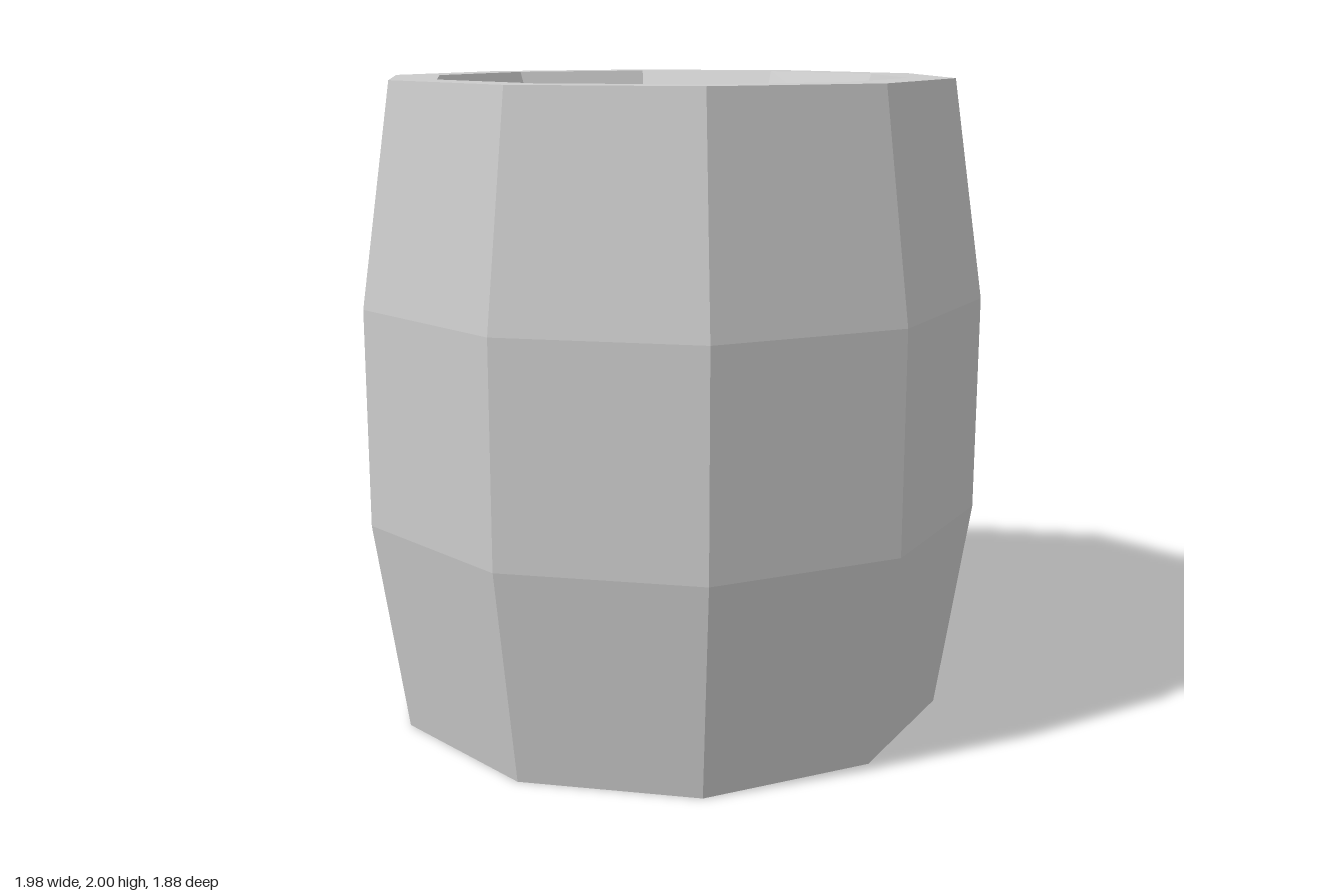
import * as THREE from 'three';

const SIDES = 10;

export function createModel() {
  const group = new THREE.Group();
  group.name = 'barrel';
  const material = new THREE.MeshStandardMaterial({ color: 0xcccccc, flatShading: true });

  // Turn a [radius, height] profile into a ten-sided part with a corner on +x
  const turned = (name, profile) => {
    const points = profile.map(([r, y]) => new THREE.Vector2(r, y));
    const mesh = new THREE.Mesh(new THREE.LatheGeometry(points, SIDES, Math.PI / 2), material);
    mesh.name = name;
    group.add(mesh);
  };

  // Bulging outer staves
  turned('staves', [[0.888, 0], [0.988, 0.667], [0.988, 1.333], [0.888, 2]]);

  // Flat rim, tapered recess wall and sunken head at each end
  const end = [[0.888, 2], [0.742, 2], [0.664, 1.81], [0, 1.81]];
  turned('topHead', end);
  turned('bottomHead', end.map(([r, y]) => [r, 2 - y]).reverse());

  return group;
}
